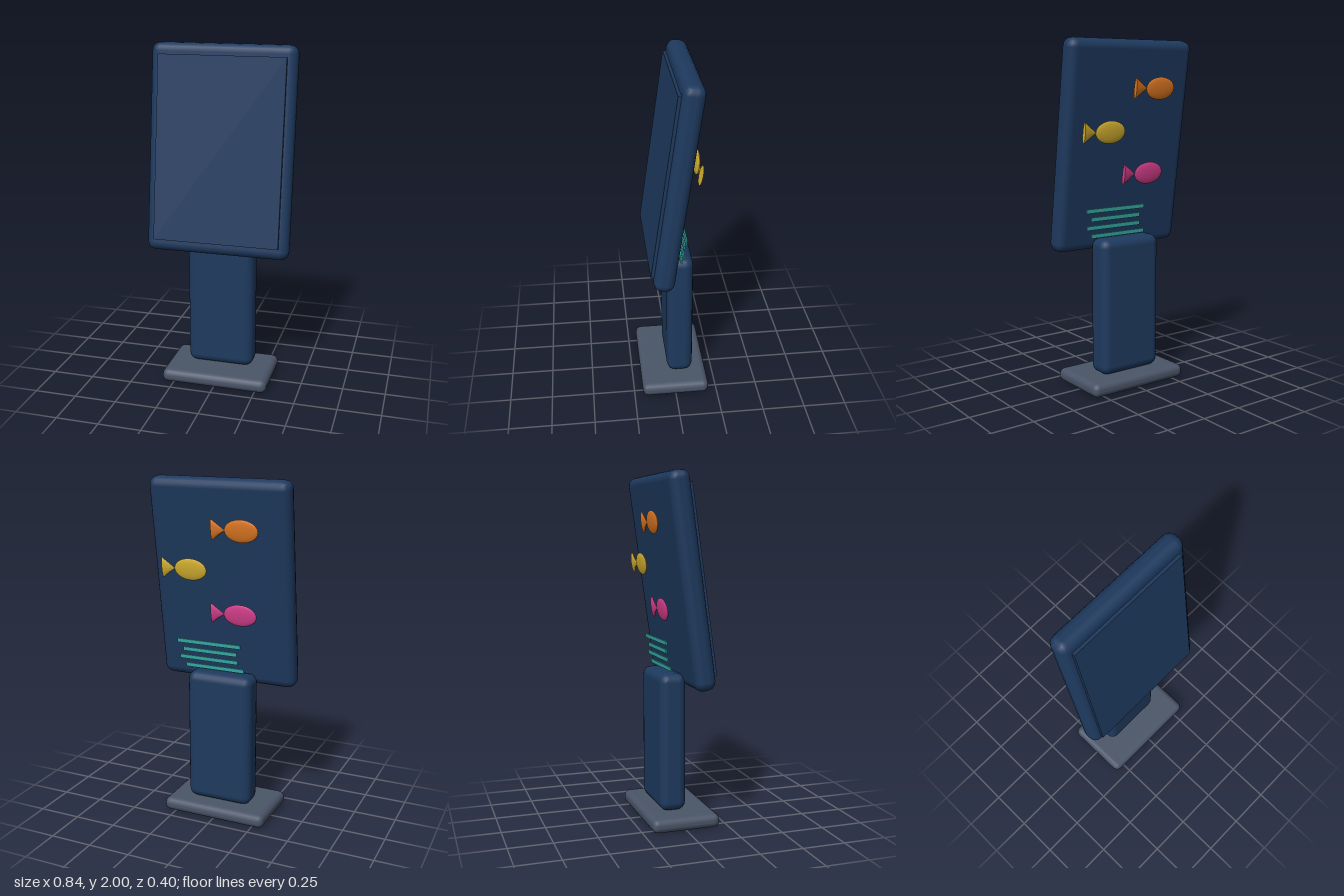
import * as THREE from 'three';
import { RoundedBoxGeometry } from 'three/addons/geometries/RoundedBoxGeometry.js';

function material(name, color) {
  const m = new THREE.MeshStandardMaterial({ color });
  m.name = name;
  return m;
}

function addMesh(parent, name, geometry, mat, x = 0, y = 0, z = 0) {
  const mesh = new THREE.Mesh(geometry, mat);
  mesh.name = name;
  mesh.position.set(x, y, z);
  parent.add(mesh);
  return mesh;
}

// Flattened fish swimming toward -x, with a cone tail opening toward +x
function makeFish(name, mat) {
  const fish = new THREE.Group();
  fish.name = name;
  const body = new THREE.SphereGeometry(0.1, 24, 16).scale(1, 0.64, 0.125);
  addMesh(fish, 'fishBody', body, mat);
  const tail = new THREE.ConeGeometry(0.06, 0.08, 12).rotateZ(Math.PI / 2).scale(1, 1, 0.22);
  addMesh(fish, 'fishTail', tail, mat, 0.135, 0, 0);
  return fish;
}

export function createModel() {
  const navy = material('navy', 0x1e3a5f);
  const slate = material('slate', 0x4a5568);
  const orange = material('orange', 0xdd7722);
  const yellow = material('yellow', 0xd4b030);
  const pink = material('pink', 0xd53f8c);
  const teal = material('teal', 0x38b2ac);

  const model = new THREE.Group();
  model.name = 'displayStand';

  // Foot and post
  addMesh(model, 'base', new RoundedBoxGeometry(0.64, 0.08, 0.4, 2, 0.035), slate, 0, 0.04, 0);
  addMesh(model, 'post', new RoundedBoxGeometry(0.4, 0.8, 0.155, 2, 0.05), navy, 0, 0.48, -0.038);

  // Display head, leaning back
  const head = new THREE.Group();
  head.name = 'head';
  head.position.set(0, 1.405, 0);
  head.rotation.x = -0.139;
  model.add(head);
  addMesh(head, 'panel', new RoundedBoxGeometry(0.84, 1.2, 0.12, 2, 0.05), navy);
  addMesh(head, 'screen', new THREE.BoxGeometry(0.736, 1.06, 0.03), navy, 0, 0, 0.063);

  // Fish floating behind the panel
  const fishes = [
    ['orangeFish', orange, -0.162, 0.34],
    ['yellowFish', yellow, 0.16, 0.1],
    ['pinkFish', pink, -0.13, -0.148],
  ];
  for (const [name, mat, x, y] of fishes) {
    const fish = makeFish(name, mat);
    fish.position.set(x, y, -0.11);
    head.add(fish);
  }

  // Stack of thin bars below the fish
  const bars = [[0.4, 0.08], [0.34, 0.075], [0.37, 0.085], [0.37, 0.05]];
  bars.forEach(([length, x], i) => {
    const bar = new THREE.BoxGeometry(length, 0.024, 0.008);
    addMesh(head, 'bar', bar, teal, x, -0.345 - i * 0.05, -0.108);
  });

  return model;
}
